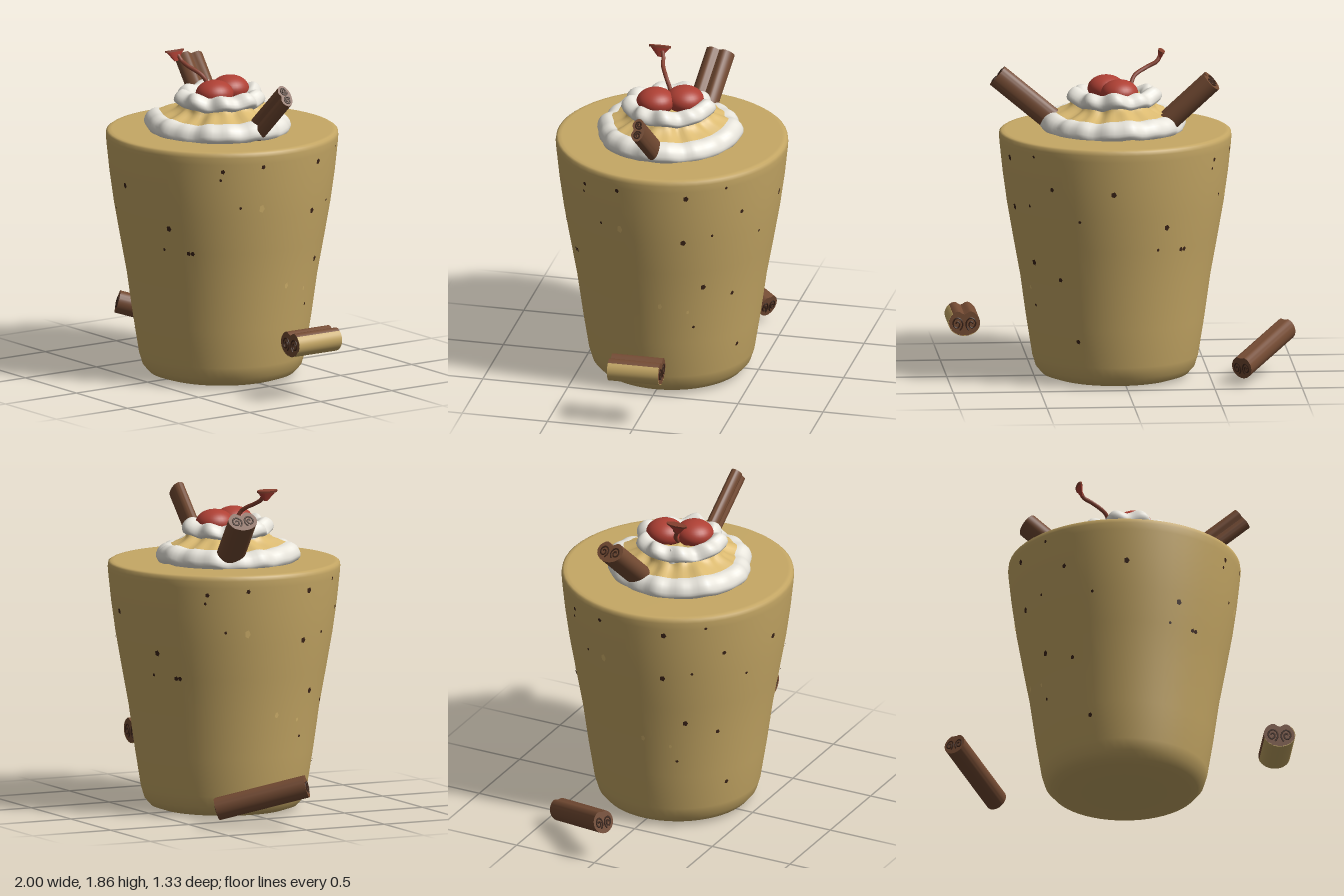
import * as THREE from 'three';
import { mergeVertices, toCreasedNormals } from 'three/addons/utils/BufferGeometryUtils.js';

const mat = (name, color, side = THREE.FrontSide) => {
  const m = new THREE.MeshStandardMaterial({ color, side });
  m.name = name;
  return m;
};
const M = {
  tan: mat('latte tan', 0xc6a865),
  caramel: mat('caramel', 0xdab970, THREE.DoubleSide),
  cream: mat('whipped cream', 0xe9e6dd, THREE.DoubleSide),
  cherry: mat('cherry red', 0xaf4034),
  stem: mat('stem brown', 0x86402f),
  bark: mat('cinnamon', 0x744b33),
  dark: mat('dark cinnamon', 0x3c2418),
};
const CX = 0.035;
const v3 = (a) => new THREE.Vector3(...a);
const v2 = (a) => new THREE.Vector2(...a);

function add(parent, name, geo, material, pos = [0, 0, 0]) {
  const mesh = new THREE.Mesh(geo, material);
  mesh.name = name;
  mesh.position.set(...pos);
  parent.add(mesh);
  return mesh;
}

// Drop seams so that reshaped surfaces shade smoothly
function smooth(geo) {
  geo.deleteAttribute('uv');
  geo.deleteAttribute('normal');
  const g = mergeVertices(geo, 1e-4);
  g.computeVertexNormals();
  return g;
}

// Cup wall from base to rim: [radius, height]
const WALL = [[0.36, 0.005], [0.42, 0.025], [0.455, 0.065], [0.475, 0.13], [0.51, 0.35],
  [0.545, 0.6], [0.585, 0.82], [0.62, 1.02], [0.645, 1.2], [0.662, 1.36], [0.665, 1.4]];
function wallRadius(y) {
  const i = Math.max(1, WALL.findIndex((p) => p[1] >= y));
  const [a, b] = [WALL[i - 1], WALL[i]];
  return a[0] + (b[0] - a[0]) * (y - a[1]) / (b[1] - a[1]);
}

function buildCup(group) {
  const profile = [[0, 0.005], [0.2, 0.005], ...WALL,
    [0.662, 1.422], [0.65, 1.43], [0.63, 1.432], [0.3, 1.432], [0, 1.432]];
  add(group, 'cup', new THREE.LatheGeometry(profile.map(v2), 56), M.tan, [CX, 0, 0]);

  // Spice flecks: [sideways, height, pale] on each of the four sides
  const front = [[-0.5, 1.36], [-0.4, 1.18], [-0.055, 1.17], [-0.245, 1.0], [-0.345, 0.64],
    [0.255, 0.96], [0.205, 0.83], [0.36, 0.82], [-0.59, 1.03], [-0.5, 0.56, 1], [0.54, 1.32]];
  const right = [[-0.39, 1.27], [-0.17, 1.34], [-0.16, 1.09, 1], [-0.28, 1.1], [-0.48, 0.82],
    [0.23, 1.32], [0.36, 1.06], [0.06, 0.6, 1], [0.3, 0.72], [0.24, 0.46], [0.44, 0.28]];
  const flecks = new THREE.Group();
  flecks.name = 'flecks';
  flecks.position.x = CX;
  group.add(flecks);
  [front, right, front, right].forEach((list, side) => list.forEach(([s, y, pale], i) => {
    const r = wallRadius(y) + 0.004;
    const a = Math.asin(s / r) + side * Math.PI / 2;
    const size = 0.009 + 0.004 * (i % 3);
    const f = add(flecks, 'fleck', new THREE.CircleGeometry(size, 5), pale ? M.caramel : M.dark,
      [r * Math.sin(a), y, r * Math.cos(a)]);
    f.lookAt(2 * r * Math.sin(a), y - 0.1, 2 * r * Math.cos(a));
    f.scale.y = pale ? 1.5 : 1.1;
  }));
}

// One band of the whipped mound, rippled around its circle
function creamBand(group, name, points, material) {
  const curve = new THREE.SplineCurve(points.map(v2));
  const geo = smooth(new THREE.LatheGeometry(curve.getPoints(12), 96));
  const p = geo.attributes.position;
  for (let i = 0; i < p.count; i++) {
    const [x, y, z] = [p.getX(i), p.getY(i), p.getZ(i)];
    const r = Math.hypot(x, z), a = Math.atan2(z, x);
    const up = THREE.MathUtils.smoothstep(y, 1.54, 1.62);
    const low = 0.012 * Math.sin(3 * a + 1) + 0.007 * Math.sin(8 * a + 2) + 0.005 * Math.sin(17 * a);
    const high = 0.013 * Math.sin(9 * a + r * 12) + 0.009 * Math.sin(4 * a + 1.5);
    const d = (low * (1 - up) + high * up) * Math.min(1, r * 5);
    p.setXYZ(i, x * (1 + d / Math.max(r, 0.05)), Math.max(1.425, y + 0.8 * d), z * (1 + d / Math.max(r, 0.05)));
  }
  geo.computeVertexNormals();
  add(group, name, geo, material);
}

function buildTopping(group) {
  const cream = new THREE.Group();
  cream.name = 'whippedCream';
  cream.position.set(CX + 0.005, 0, 0.02);
  group.add(cream);
  creamBand(cream, 'lowerSwirl', [[0.395, 1.425], [0.412, 1.455], [0.395, 1.5], [0.36, 1.525], [0.325, 1.527]], M.cream);
  creamBand(cream, 'lowerCaramel', [[0.325, 1.527], [0.28, 1.545], [0.245, 1.565], [0.225, 1.585]], M.caramel);
  creamBand(cream, 'upperSwirl', [[0.225, 1.575], [0.257, 1.6], [0.245, 1.64], [0.205, 1.665], [0.165, 1.645], [0.15, 1.62]], M.cream);
  creamBand(cream, 'upperCaramel', [[0.15, 1.625], [0.08, 1.61], [0, 1.61]], M.caramel);
  const tuft = add(cream, 'tuft', new THREE.ConeGeometry(0.035, 0.09, 12), M.cream, [-0.21, 1.625, 0.05]);
  tuft.rotation.z = 0.3;

  // A pair of cherries pressed together
  [[0.015, 1.655, -0.07], [0.08, 1.655, 0.085]].forEach((pos) => {
    const c = add(group, 'cherry', new THREE.SphereGeometry(0.11, 32, 20), M.cherry, pos);
    c.scale.set(0.97, 0.7, 1);
  });

  // Curved stem with a flared tip
  const path = new THREE.CatmullRomCurve3([[0, 1.62, 0.02], [-0.05, 1.67, 0.03], [-0.08, 1.73, 0.06],
    [-0.16, 1.775, 0.1], [-0.21, 1.8, 0.11], [-0.23, 1.83, 0.12]].map(v3));
  add(group, 'stem', new THREE.TubeGeometry(path, 28, 0.012, 8), M.stem);
  const tip = add(group, 'stemTip', new THREE.CylinderGeometry(0.062, 0.012, 0.06, 20), M.cherry, [-0.232, 1.825, 0.135]);
  const rim = add(group, 'stemRim', new THREE.CylinderGeometry(0.066, 0.064, 0.012, 20), M.stem, [-0.24, 1.854, 0.137]);
  tip.scale.x = rim.scale.x = 0.28;
  tip.rotation.z = rim.rotation.z = 0.25;
}

// Rolled bark outline: an oval with a groove where the two curls meet
function barkPoint(t, w, h, groove) {
  const dent = groove * Math.exp(-(((t - Math.PI / 2) / 0.28) ** 2));
  return new THREE.Vector2(Math.cos(t) * w / 2, Math.sin(t) * h / 2 * (1 - dent));
}

function cinnamonStick(group, { name, from, to, up, w, h, groove, lining }) {
  const stick = new THREE.Group();
  stick.name = name;
  const a = v3(from), axis = v3(to).sub(a), len = axis.length();
  axis.normalize();
  const side = new THREE.Vector3().crossVectors(v3(up), axis).normalize();
  const top = new THREE.Vector3().crossVectors(axis, side);
  stick.quaternion.setFromRotationMatrix(new THREE.Matrix4().makeBasis(side, top, axis));
  stick.position.copy(a);
  group.add(stick);

  const arc = (t0, t1, n, k) => Array.from({ length: n + 1 },
    (_, i) => barkPoint(t0 + (t1 - t0) * i / n, w * k, h * k, groove));
  const extrude = (pts) => toCreasedNormals(
    new THREE.ExtrudeGeometry(new THREE.Shape(pts), { depth: len, bevelEnabled: false }), 0.7);
  add(stick, 'bark', extrude(arc(0, Math.PI * 2, 40, 1).slice(0, -1)), M.bark);

  // Dark curls drawn on both ends
  for (const z of [0, len]) for (const s of [-1, 1]) {
    const curl = new THREE.CatmullRomCurve3(Array.from({ length: 15 }, (_, i) => {
      const t = i * 0.75, r = 0.15 + 0.8 * i / 14;
      return new THREE.Vector3(s * (w * 0.23 + Math.cos(t) * r * w * 0.2), -h * 0.04 + Math.sin(t) * r * h * 0.3, z);
    }));
    add(stick, 'curl', new THREE.TubeGeometry(curl, 36, 0.005, 5), M.dark);
  }
  // Pale outer skin over part of the bark
  if (lining) {
    add(stick, 'paleSkin', extrude([...arc(...lining, 24, 1.015), ...arc(...lining, 24, 0.96).reverse()]), M.tan);
  }
}

export function createModel() {
  const model = new THREE.Group();
  model.name = 'dessertCup';
  buildCup(model);
  buildTopping(model);
  [
    { name: 'rightStick', from: [-0.26, 1.5, -0.11], to: [-0.505, 1.735, -0.155], up: [0.6, 1, 0], w: 0.17, h: 0.13, groove: 0.45 },
    { name: 'leftStick', from: [0.38, 1.475, 0.015], to: [0.707, 1.745, 0.04], up: [0, 0, 1], w: 0.135, h: 0.08, groove: 0.4 },
    { name: 'floatingLeftStick', from: [0.91, 0.345, -0.15], to: [0.91, 0.345, 0.15], up: [0, 1, 0], w: 0.18, h: 0.15, groove: 0.35, lining: [-2.8, 0.75] },
    { name: 'floatingRightStick', from: [-0.66, 0.11, -0.4], to: [-0.945, 0.25, 0.03], up: [0, 1, 0], w: 0.125, h: 0.135, groove: 0.15 },
  ].forEach((s) => cinnamonStick(model, s));
  return model;
}
